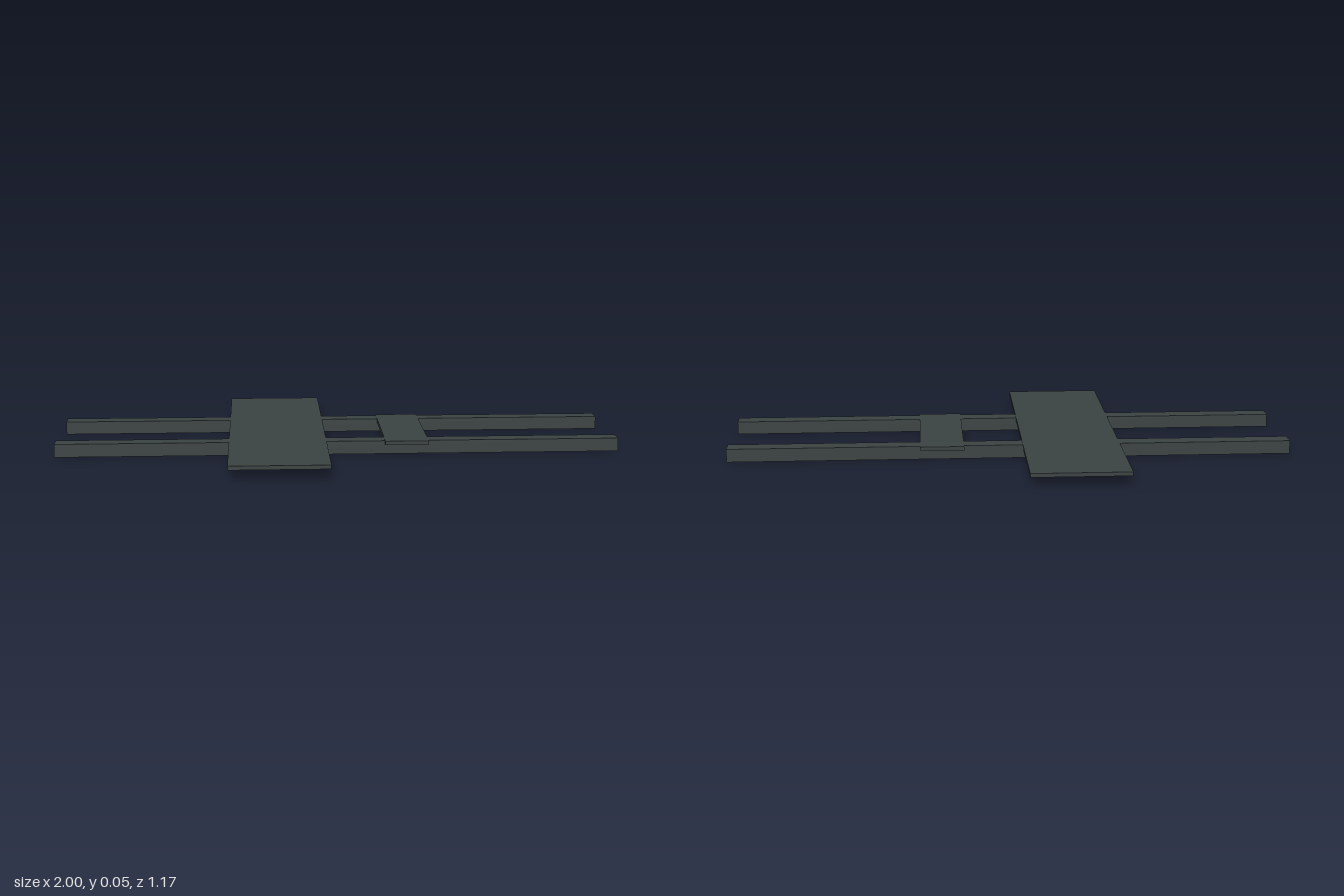
import * as THREE from 'three';

export function createModel() {
  const model = new THREE.Group();
  model.name = 'railFrame';
  const charcoal = new THREE.MeshStandardMaterial({ color: 0x3b4242 });
  charcoal.name = 'charcoal';

  // Box given by its size, its centre in x and z, and its underside height
  function addBox(name, [w, h, d], x, bottom, z) {
    const mesh = new THREE.Mesh(new THREE.BoxGeometry(w, h, d), charcoal);
    mesh.name = name;
    mesh.position.set(x, bottom + h / 2, z);
    model.add(mesh);
  }

  // Two long parallel rails
  for (const side of [1, -1]) {
    addBox(side > 0 ? 'frontRail' : 'backRail', [2, 0.047, 0.062], 0, 0, side * 0.19);
  }

  // Thin plates let into the tops of the rails
  addBox('widePlate', [0.345, 0.014, 1.166], -0.215, 0.034, 0);
  addBox('narrowPlate', [0.155, 0.014, 0.47], 0.243, 0.034, 0);

  return model;
}
